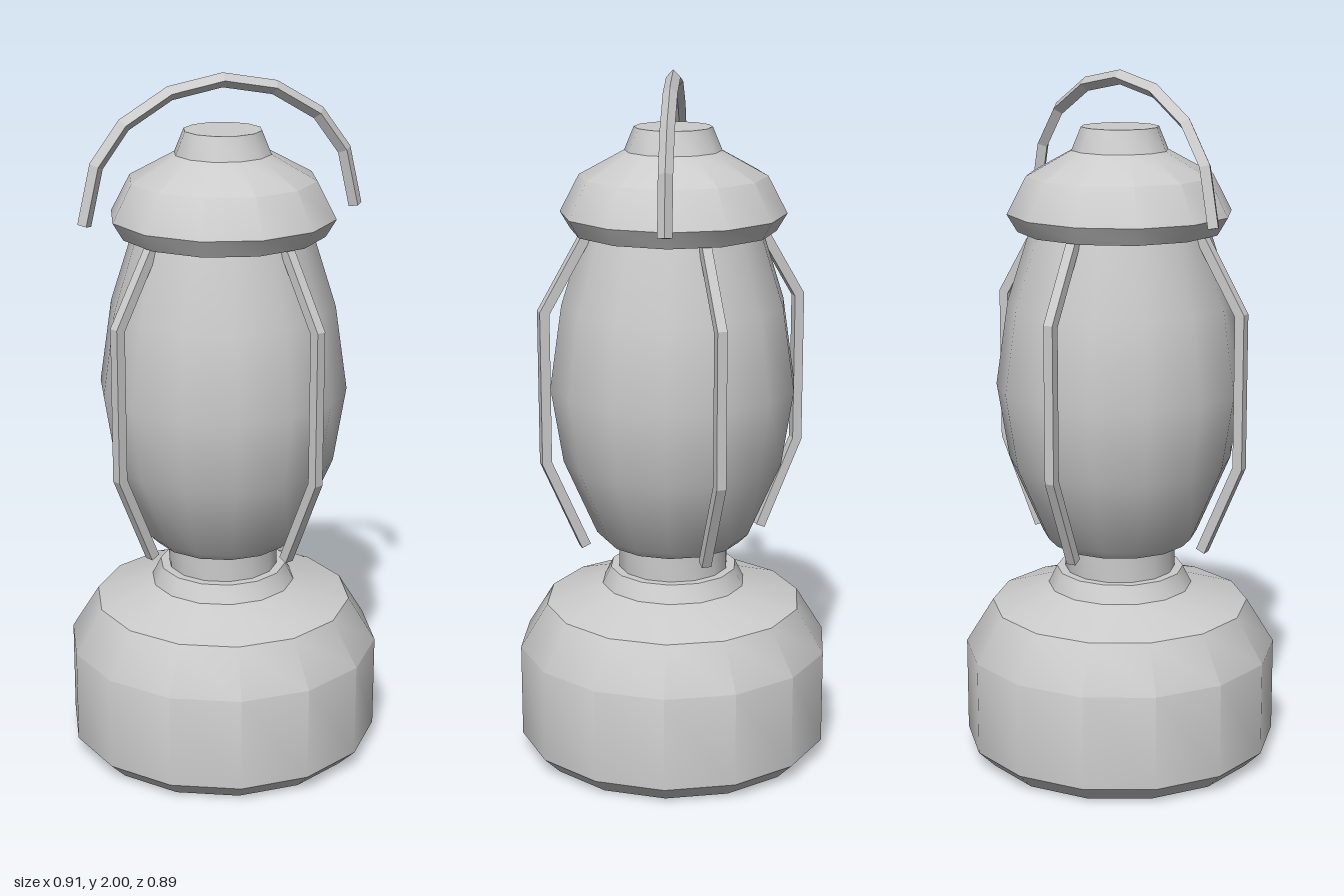
import * as THREE from 'three';
import { toCreasedNormals } from 'three/addons/utils/BufferGeometryUtils.js';

const material = new THREE.MeshStandardMaterial({ color: 0xcccccc });

function addMesh(parent, name, geometry) {
  const mesh = new THREE.Mesh(geometry, material);
  mesh.name = name;
  parent.add(mesh);
  return mesh;
}

// Turned part from [radius, height] pairs, bottom to top, sharp only at strong edges
function turned(profile, sides) {
  const points = profile.map(([r, y]) => new THREE.Vector2(r, y));
  const lathe = new THREE.LatheGeometry(points, sides, Math.PI / 2);
  return toCreasedNormals(lathe, THREE.MathUtils.degToRad(36));
}

// Bar with a four-cornered section swept along a mitred path in the xy plane
function bentBar(path, section) {
  const pts = path.map(([x, y]) => new THREE.Vector2(x, y));
  const positions = [];
  const index = [];
  const last = pts.length - 1;
  pts.forEach((p, i) => {
    const before = p.clone().sub(pts[Math.max(i - 1, 0)]).normalize();
    const after = pts[Math.min(i + 1, last)].clone().sub(p).normalize();
    const t = before.clone().add(after).normalize();
    const mitre = 1 / Math.max(t.dot(before), t.dot(after));
    for (const [u, v] of section) {
      positions.push(p.x + t.y * u * mitre, p.y - t.x * u * mitre, v);
    }
    if (i === last) return;
    for (let k = 0; k < 4; k++) {
      const a = i * 4 + k, b = i * 4 + (k + 1) % 4;
      index.push(a, a + 4, b, b, a + 4, b + 4);
    }
  });
  const e = last * 4;
  index.push(0, 1, 2, 0, 2, 3, e, e + 2, e + 1, e, e + 3, e + 2);
  const geometry = new THREE.BufferGeometry();
  geometry.setAttribute('position', new THREE.Float32BufferAttribute(positions, 3));
  geometry.setIndex(index);
  const flat = geometry.toNonIndexed();
  flat.computeVertexNormals();
  return flat;
}

export function createModel() {
  const lantern = new THREE.Group();
  lantern.name = 'lantern';

  // Fuel tank with stepped collar
  addMesh(lantern, 'base', turned([
    [0, 0], [0.405, 0], [0.455, 0.05], [0.455, 0.325], [0.375, 0.455],
    [0.21, 0.51], [0.185, 0.56], [0, 0.56],
  ], 14));

  // Neck between tank and globe
  addMesh(lantern, 'neck', turned([[0.16, 0.55], [0.16, 0.66]], 14));

  // Bulging globe
  addMesh(lantern, 'globe', turned([
    [0, 0.645], [0.2, 0.645], [0.225, 0.67], [0.32, 0.89], [0.355, 1.11],
    [0.32, 1.35], [0.25, 1.57], [0, 1.57],
  ], 14));

  // Vented cap
  addMesh(lantern, 'cap', turned([
    [0, 1.555], [0.29, 1.555], [0.32, 1.605], [0.265, 1.71],
    [0.137, 1.78], [0.11, 1.845], [0, 1.845],
  ], 12));

  // Four bent guard bars around the globe
  const h = 0.014;
  const square = [[h, -h], [h, h], [-h, h], [-h, -h]];
  const guardGeometry = bentBar(
    [[0.27, 0.65], [0.383, 0.91], [0.383, 1.345], [0.255, 1.56]], square);
  for (let i = 0; i < 4; i++) {
    const guard = addMesh(lantern, 'guardBar' + (i + 1), guardGeometry);
    guard.rotation.y = Math.PI / 8 + i * Math.PI / 2;
  }

  // Carrying handle, mirrored about the middle
  const d = 0.02;
  const diamond = [[d, 0], [0, d], [-d, 0], [0, -d]];
  const half = [[0.4, 1.605], [0.363, 1.766], [0.283, 1.874], [0.152, 1.952]];
  const arc = [...half, [0, 1.98], ...half.map(([x, y]) => [-x, y]).reverse()];
  addMesh(lantern, 'handle', bentBar(arc, diamond));

  return lantern;
}
